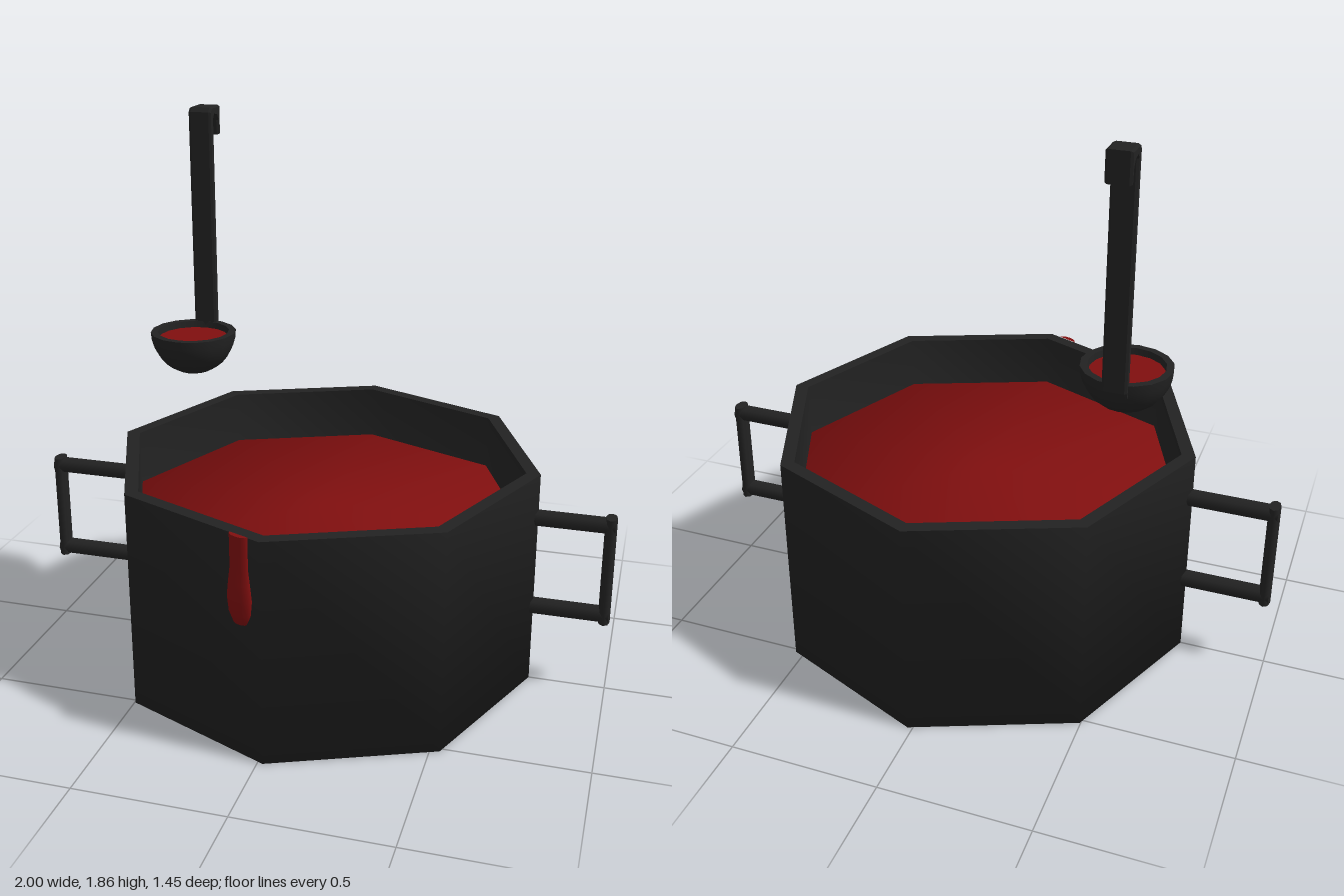
import * as THREE from 'three';

const iron = new THREE.MeshStandardMaterial({ color: 0x222222 });
iron.name = 'blackIron';
const red = new THREE.MeshStandardMaterial({ color: 0x800f0f });
red.name = 'redSoup';

function add(parent, name, geometry, material, x = 0, y = 0, z = 0) {
  const mesh = new THREE.Mesh(geometry, material);
  mesh.name = name;
  mesh.position.set(x, y, z);
  parent.add(mesh);
  return mesh;
}

// Repeating a profile point keeps that edge sharp
function lathe(points, sides, start = 0, sweep = Math.PI * 2) {
  return new THREE.LatheGeometry(points.map(([r, y]) => new THREE.Vector2(r, y)), sides, start, sweep);
}

function createPot() {
  const pot = new THREE.Group();
  pot.name = 'pot';
  const R = 0.727, r = 0.68, H = 0.755;
  add(pot, 'potBody', lathe([
    [0, 0], [R, 0], [R, H], [R, H], [r, H], [r, H], [r, 0.04], [0, 0.04],
  ], 8), iron);
  add(pot, 'soup', lathe([[r - 0.002, 0.05], [r - 0.002, 0.57], [0, 0.57]], 8), red);

  // Drip running down the outside of the front wall
  const drip = add(pot, 'drip', lathe([
    [0, 0.46], [0.025, 0.465], [0.042, 0.5], [0.048, 0.55], [0.042, 0.6],
    [0.035, 0.65], [0.035, 0.757], [0.035, 0.757], [0, 0.757],
  ], 6, -Math.PI / 2, Math.PI), red, -0.072, 0, 0.697);
  drip.rotation.y = -Math.PI / 8;
  drip.scale.z = 0.5;
  pot.position.x = 0.017;
  return pot;
}

// Side handle: two horizontal bars joined by a flatter upright
function createHandle(side) {
  const handle = new THREE.Group();
  handle.name = side > 0 ? 'leftHandle' : 'rightHandle';
  const inner = 0.7 + side * 0.012, length = 0.995 - inner;
  const bar = new THREE.CylinderGeometry(0.029, 0.029, length, 8).rotateZ(Math.PI / 2);
  for (const y of [0.278, 0.601]) {
    add(handle, 'handleBar', bar, iron, side * (inner + length / 2), y, -0.003);
  }
  const grip = new THREE.CylinderGeometry(0.032, 0.032, 0.38, 8).scale(0.62, 1, 1);
  add(handle, 'handleGrip', grip, iron, side * 0.98, 0.44, -0.003);
  return handle;
}

function createLadle() {
  const ladle = new THREE.Group();
  ladle.name = 'ladle';
  const R = 0.148, profile = [];
  for (let i = 0; i <= 8; i++) {
    const a = (i / 8) * Math.PI / 2;
    profile.push([R * Math.sin(a), 0.15 - 0.15 * Math.cos(a)]);
  }
  profile.push([R, 0.15], [0.124, 0.15], [0.124, 0.15], [0.118, 0.11]);
  add(ladle, 'ladleBowl', lathe(profile, 16), iron);
  add(ladle, 'ladleSoup', new THREE.CircleGeometry(0.123, 16).rotateX(-Math.PI / 2), red, 0, 0.128, 0);

  // Flat stem with a hook at the top, drawn from the side
  const outline = [
    [0.122, 0.11], [0.138, 0.095], [0.15, 0.125], [0.15, 0.86], [0.16, 0.873],
    [0.185, 0.868], [0.198, 0.85], [0.202, 0.8], [0.215, 0.8], [0.215, 0.9],
    [0.135, 0.9], [0.122, 0.885],
  ];
  const shape = new THREE.Shape(outline.map(([x, y]) => new THREE.Vector2(x, y)));
  const stem = new THREE.ExtrudeGeometry(shape, {
    depth: 0.064, bevelEnabled: true, bevelThickness: 0.008, bevelSize: 0.004,
    bevelOffset: -0.004, bevelSegments: 1,
  }).translate(0, 0, -0.032).rotateY(Math.PI / 2);
  add(ladle, 'ladleStem', stem, iron);
  ladle.position.set(-0.495, 0.96, -0.12);
  return ladle;
}

export function createModel() {
  const model = new THREE.Group();
  model.name = 'soupPotWithLadle';
  model.add(createPot(), createHandle(1), createHandle(-1), createLadle());
  return model;
}
